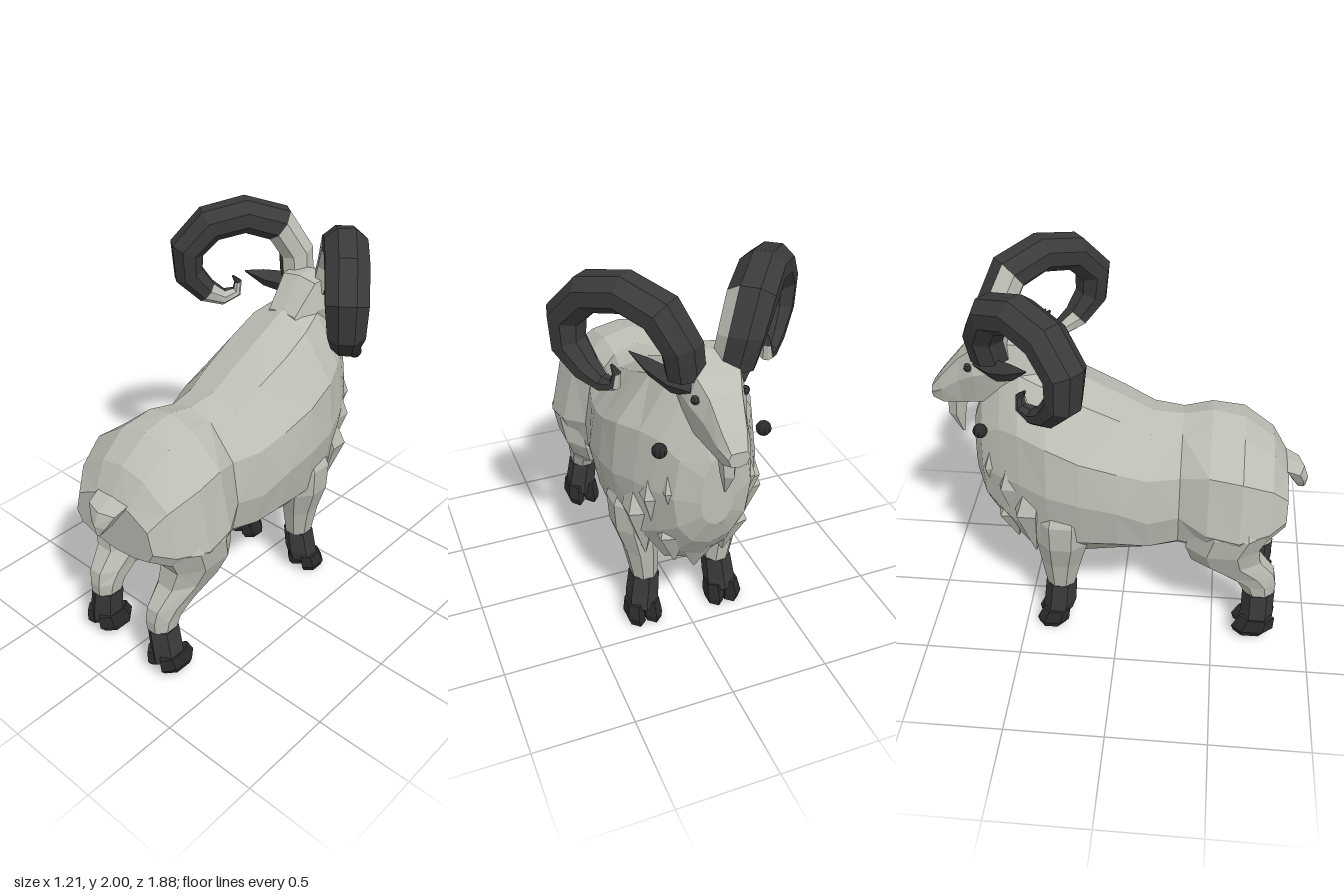
import * as THREE from 'three';

const V = (x, y, z) => new THREE.Vector3(x, y, z);

// Faceted skin over rings of equal point count, with closed ends.
// pick(i, j) chooses material 0 or 1 for each panel; winding is made outward.
function loft(rings, pick = () => 0) {
  const tris = [[], []];
  const n = rings[0].length;
  for (let i = 0; i < rings.length - 1; i++) {
    for (let j = 0; j < n; j++) {
      const k = (j + 1) % n;
      const a = rings[i][j], b = rings[i][k], c = rings[i + 1][k], d = rings[i + 1][j];
      const quad = (i + j) % 2 ? [a, b, c, a, c, d] : [a, b, d, b, c, d];
      tris[pick(i, j)].push(...quad);
    }
  }
  [0, rings.length - 1].forEach((i, end) => {
    const mid = V(0, 0, 0);
    rings[i].forEach((p) => mid.addScaledVector(p, 1 / n));
    for (let j = 0; j < n; j++) {
      const a = rings[i][j], b = rings[i][(j + 1) % n];
      tris[0].push(...(end ? [a, b, mid] : [b, a, mid]));
    }
  });
  let volume = 0;
  tris.forEach((list) => {
    for (let t = 0; t < list.length; t += 3) {
      volume += list[t].dot(list[t + 1].clone().cross(list[t + 2]));
    }
  });
  if (volume < 0) tris.forEach((list) => list.reverse());
  const geo = new THREE.BufferGeometry().setFromPoints([...tris[0], ...tris[1]]);
  geo.addGroup(0, tris[0].length, 0);
  geo.addGroup(tris[0].length, tris[1].length, 1);
  geo.computeVertexNormals();
  return geo;
}

// Half outline mirrored into a full cross-section at depth z
const mirrored = (half, z) => [
  ...half.map(([x, y]) => V(x, y, z)),
  ...half.slice(1, -1).reverse().map(([x, y]) => V(-x, y, z)),
];

// Horizontal ring, for legs, locks and tail
function flatRing([y, x, z, rx, rz], sides, s = 1) {
  return Array.from({ length: sides }, (_, j) => {
    const a = ((j + 0.5) / sides) * Math.PI * 2;
    return V(s * (x + Math.cos(a) * rx), y, z + Math.sin(a) * rz);
  });
}

export function createModel() {
  const make = (name, color) => {
    const m = new THREE.MeshStandardMaterial({ color, flatShading: true });
    m.name = name;
    return m;
  };
  const fur = make('paleFur', 0xbcbeb4);
  const dark = make('darkHorn', 0x3a3a3a);
  const black = make('blackHoof', 0x2b2b2b);

  const model = new THREE.Group();
  const add = (name, geo, mat, parent = model) => {
    const mesh = new THREE.Mesh(geo, geo.groups.length ? [mat, fur] : mat);
    mesh.name = name;
    parent.add(mesh);
    return mesh;
  };

  // Trunk from rump to chest: z, top, bottom, widest height, half width, back breadth
  const trunk = [
    [0.83, 0.99, 0.7, 0.8, 0.26, 0.85], [0.75, 1.13, 0.65, 0.77, 0.33, 0.8],
    [0.6, 1.24, 0.62, 0.76, 0.4, 0.75], [0.44, 1.27, 0.58, 0.78, 0.38, 0.72],
    [0.3, 1.24, 0.5, 0.82, 0.3, 0.85], [0.15, 1.25, 0.475, 0.8, 0.335, 0.9],
    [0, 1.33, 0.46, 0.88, 0.37, 0.9], [-0.18, 1.42, 0.43, 0.92, 0.38, 0.93],
    [-0.34, 1.5, 0.46, 0.95, 0.365, 0.93], [-0.48, 1.55, 0.43, 0.98, 0.31, 0.85],
    [-0.58, 1.5, 0.54, 0.98, 0.255, 0.8], [-0.68, 1.37, 0.68, 0.98, 0.19, 0.8],
    [-0.735, 1.2, 0.83, 0.97, 0.08, 0.8],
  ].map(([z, t, b, m, w, k]) => mirrored([
    [0, t], [0.5 * k * w, t - 0.05 * (t - b)], [0.48 * (1 + k) * w, t - 0.27 * (t - b)],
    [w, m], [0.88 * w, b + 0.45 * (m - b)], [0.5 * w, b + 0.05 * (t - b)], [0, b],
  ], z));
  add('body', loft(trunk), fur);

  // Head: z, top, bottom, half width
  const head = [
    [-0.36, 1.5, 1.3, 0.11], [-0.49, 1.655, 1.28, 0.135], [-0.59, 1.665, 1.27, 0.145],
    [-0.7, 1.62, 1.27, 0.135], [-0.78, 1.55, 1.25, 0.1],
    [-0.88, 1.43, 1.25, 0.075], [-0.935, 1.355, 1.28, 0.05],
  ].map(([z, t, b, w]) => mirrored([
    [0, t], [0.75 * w, t - 0.04 * (t - b)], [w, t - 0.4 * (t - b)],
    [0.7 * w, b + 0.12 * (t - b)], [0, b],
  ], z));
  add('head', loft(head), fur);

  // Beard and tail
  add('beard', loft([
    [1.3, 0, -0.815, 0.045, 0.055], [1.18, 0, -0.83, 0.035, 0.045], [1.07, 0, -0.81, 0.006, 0.006],
  ].map((r) => flatRing(r, 5))), fur);
  add('tail', loft([
    [1.02, 0, 0.74, 0.13, 0.04], [0.96, 0, 0.865, 0.1, 0.05],
    [0.89, 0, 0.895, 0.055, 0.045], [0.835, 0, 0.91, 0.01, 0.02],
  ].map((r) => flatRing(r, 6))), fur);

  // Hanging locks of chest fur
  const lock = (x, y, z, width, length, s) => add('chestLock', loft([
    [y, x * 0.8, z + 0.06, width * 0.5, width * 0.4],
    [y - length * 0.5, x, z, width, width * 0.8],
    [y - length, x * 0.9, z + 0.02, 0.006, 0.006],
  ].map((r) => flatRing(r, 5, s))), fur);
  lock(0, 1.0, -0.66, 0.09, 0.36, 1);
  lock(0, 0.78, -0.51, 0.13, 0.39, 1);

  // Horn centre line: x, y, z, radius
  const hornPath = [
    [0.11, 1.58, -0.61, 0.085], [0.135, 1.72, -0.625, 0.09], [0.205, 1.86, -0.565, 0.095],
    [0.315, 1.915, -0.43, 0.092], [0.43, 1.875, -0.29, 0.092], [0.505, 1.75, -0.2, 0.09],
    [0.505, 1.61, -0.21, 0.08], [0.45, 1.505, -0.285, 0.062], [0.4, 1.46, -0.36, 0.042],
    [0.365, 1.48, -0.425, 0.028], [0.36, 1.535, -0.43, 0.02], [0.375, 1.57, -0.405, 0.006],
  ];
  const horn = (s) => {
    const side = V(s * 0.79, 0, -0.61);
    const points = hornPath.map(([x, y, z]) => V(s * x, y, z));
    const rings = points.map((p, i) => {
      const t = points[Math.min(i + 1, points.length - 1)].clone()
        .sub(points[Math.max(i - 1, 0)]).normalize();
      const out = t.clone().cross(side).normalize().multiplyScalar(s);
      return Array.from({ length: 8 }, (_, j) => {
        const a = ((j + 0.5) / 8) * Math.PI * 2;
        return p.clone().addScaledVector(side, Math.cos(a) * hornPath[i][3] * 1.2)
          .addScaledVector(out, Math.sin(a) * hornPath[i][3]);
      });
    });
    // pale inner face at the root, pale underside near the curled tip
    return loft(rings, (i, j) => {
      const root = i < 2 && j >= 2 && j <= 4;
      const curl = i > 6 && i < 10 && j <= 4 && (j > 0 || i > 7);
      return root || curl ? 1 : 0;
    });
  };

  // Leg rings: y, x, z, half width, half depth
  const legs = {
    hind: {
      lift: 0.03,
      upper: [
        [0.98, 0.2, 0.57, 0.1, 0.14], [0.76, 0.24, 0.565, 0.16, 0.22], [0.63, 0.235, 0.525, 0.145, 0.2],
        [0.52, 0.215, 0.55, 0.12, 0.19], [0.42, 0.205, 0.66, 0.09, 0.155],
        [0.35, 0.2, 0.72, 0.078, 0.105], [0.285, 0.2, 0.735, 0.07, 0.085],
      ],
      shank: [[0.285, 0.2, 0.735, 0.08, 0.085], [0.15, 0.22, 0.735, 0.085, 0.085], [0.09, 0.225, 0.73, 0.09, 0.09]],
      toe: 0.715,
      depth: 0.11,
    },
    fore: {
      lift: 0,
      upper: [
        [0.95, 0.2, -0.27, 0.08, 0.1], [0.75, 0.235, -0.28, 0.135, 0.15], [0.6, 0.24, -0.285, 0.12, 0.14],
        [0.44, 0.215, -0.3, 0.09, 0.11], [0.27, 0.2, -0.31, 0.07, 0.078],
      ],
      shank: [[0.27, 0.2, -0.31, 0.078, 0.082], [0.14, 0.215, -0.32, 0.085, 0.085], [0.08, 0.22, -0.335, 0.085, 0.08]],
      toe: -0.355,
      depth: 0.085,
    },
  };

  for (const s of [1, -1]) {
    add('horn', horn(s), dark);

    // Ear: leaf swept out and back
    add('ear', loft([
      [0.11, 1.54, -0.68, 0.035], [0.165, 1.54, -0.58, 0.062],
      [0.235, 1.575, -0.49, 0.045], [0.295, 1.62, -0.41, 0.004],
    ].map(([x, y, z, r]) => [
      V(s * x, y + r, z), V(s * (x + r * 0.5), y, z - r * 0.5),
      V(s * x, y - r, z), V(s * (x - r * 0.5), y, z + r * 0.5),
    ])), dark);

    // Eye, and the small round bead hanging beside the neck
    const eye = add('eye', new THREE.SphereGeometry(0.022, 6, 4), dark);
    eye.position.set(s * 0.115, 1.515, -0.725);
    const bead = add('bead', new THREE.SphereGeometry(0.036, 10, 8), black);
    bead.position.set(s * 0.25, 1.25, -0.66);

    // Side locks of the mane
    lock(0.07, 1.2, -0.68, 0.06, 0.45, s);
    lock(0.15, 1.3, -0.62, 0.09, 0.6, s);
    lock(0.21, 1.25, -0.53, 0.1, 0.65, s);
    lock(0.26, 1.1, -0.45, 0.1, 0.6, s);
    lock(0.14, 0.9, -0.56, 0.1, 0.4, s);

    for (const [name, leg] of Object.entries(legs)) {
      const group = new THREE.Group();
      group.name = name + 'Leg';
      model.add(group);
      add('upperLeg', loft(leg.upper.map((r) => flatRing(r, 8, s))), fur, group);
      add('shank', loft(leg.shank.map((r) => flatRing(r, 6, s))), dark, group);
      // Cloven hoof
      for (const dx of [-0.043, 0.043]) {
        add('toe', loft([
          [leg.lift + 0.11, 0.222 + dx, leg.toe + 0.02, 0.045, leg.depth * 0.85],
          [leg.lift + 0.04, 0.225 + dx * 1.1, leg.toe, 0.052, leg.depth],
          [leg.lift, 0.22 + dx, leg.toe - 0.01, 0.045, leg.depth * 0.8],
        ].map((r) => flatRing(r, 6, s))), black, group);
      }
    }
  }
  return model;
}
